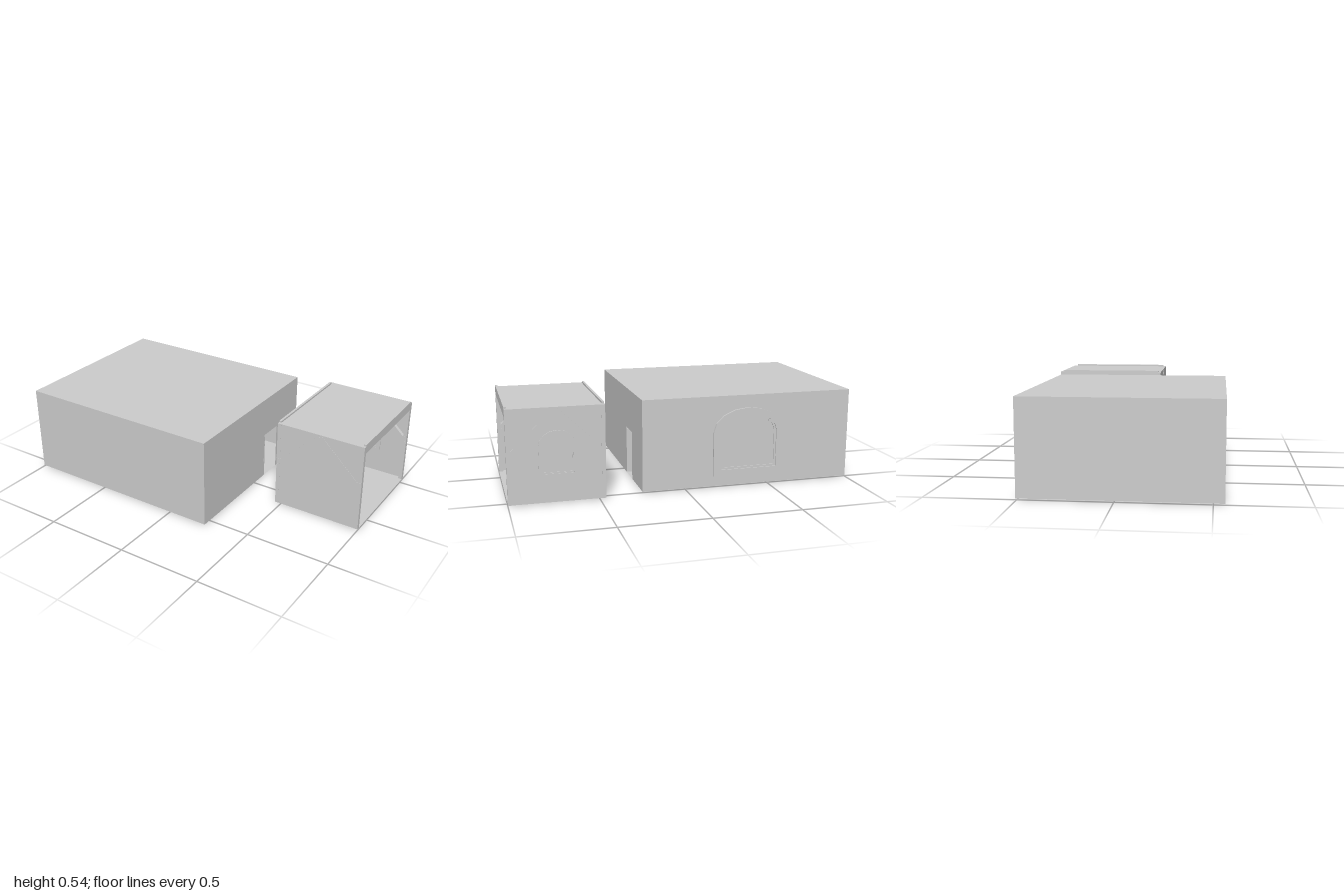
import * as THREE from 'three';

const mat = new THREE.MeshStandardMaterial({ color: 0xcccccc, side: THREE.DoubleSide, flatShading: true });

function add(parent, name, geometry) {
  const mesh = new THREE.Mesh(geometry, mat);
  mesh.name = name;
  parent.add(mesh);
  return mesh;
}

// Box given by its two extreme corners
function block(parent, name, [x0, y0, z0], [x1, y1, z1]) {
  const mesh = add(parent, name, new THREE.BoxGeometry(x1 - x0, y1 - y0, z1 - z0));
  mesh.position.set((x0 + x1) / 2, (y0 + y1) / 2, (z0 + z1) / 2);
  return mesh;
}

// Thin rectangle: normal axis 'x', 'y' or 'z', with the sign of its outer side
function panel(parent, name, axis, sign, w, h, pos) {
  const g = new THREE.PlaneGeometry(w, h);
  if (axis === 'x') g.rotateY(sign * Math.PI / 2);
  if (axis === 'y') g.rotateX(-sign * Math.PI / 2);
  if (axis === 'z' && sign < 0) g.rotateY(Math.PI);
  add(parent, name, g).position.set(...pos);
}

// Outline with straight sides and a faceted round head
function archPoints(x0, x1, y0, spring, top) {
  const cx = (x0 + x1) / 2, r = (x1 - x0) / 2;
  const pts = [new THREE.Vector2(x0, y0), new THREE.Vector2(x1, y0)];
  for (let i = 0; i <= 8; i++) {
    const a = i * Math.PI / 8;
    pts.push(new THREE.Vector2(cx + r * Math.cos(a), spring + (top - spring) * Math.sin(a)));
  }
  return pts;
}

// Arched ring standing in the xy plane between two depths
function archFrame(parent, name, [x0, x1, y0, spring, top], width, z0, z1) {
  const shape = new THREE.Shape(archPoints(x0, x1, y0, spring, top));
  shape.holes.push(new THREE.Path(archPoints(x0 + width, x1 - width, y0 + width, spring, top - width)));
  const g = new THREE.ExtrudeGeometry(shape, { depth: z1 - z0, bevelEnabled: false });
  add(parent, name, g).position.z = z0;
}

// Square timber running between two points in the xy plane
function brace(parent, name, [xa, ya], [xb, yb], width, z0, z1) {
  const mesh = add(parent, name, new THREE.BoxGeometry(Math.hypot(xb - xa, yb - ya), width, z1 - z0));
  mesh.position.set((xa + xb) / 2, (ya + yb) / 2, (z0 + z1) / 2);
  mesh.rotation.z = Math.atan2(yb - ya, xb - xa);
}

function createHall() {
  const hall = new THREE.Group();
  hall.name = 'mainHall';
  const x0 = -1, x1 = 0.25, y0 = 0.01, y1 = 0.535, z0 = -0.507, z1 = 0.559;
  const cx = (x0 + x1) / 2, cy = (y0 + y1) / 2, cz = (z0 + z1) / 2;
  panel(hall, 'hallFloor', 'y', -1, x1 - x0, z1 - z0, [cx, y0, cz]);
  panel(hall, 'hallCeiling', 'y', 1, x1 - x0, z1 - z0, [cx, y1, cz]);
  panel(hall, 'hallFrontWall', 'z', 1, x1 - x0, y1 - y0, [cx, cy, z1]);
  panel(hall, 'hallBackWall', 'z', -1, x1 - x0, y1 - y0, [cx, cy, z0]);
  panel(hall, 'hallRightWall', 'x', -1, z1 - z0, y1 - y0, [x0, cy, cz]);

  // Wall with the doorway; shape x becomes -z
  const wall = new THREE.Shape([[-z1, y0], [0.1, y0], [0.1, 0.295], [0.25, 0.295], [0.25, y0],
    [-z0, y0], [-z0, y1], [-z1, y1]].map(p => new THREE.Vector2(...p)));
  add(hall, 'hallDoorwayWall', new THREE.ShapeGeometry(wall).rotateY(Math.PI / 2)).position.x = x1;
  block(hall, 'openDoor', [x1 - 0.14, 0.013, -0.108], [x1, 0.28, -0.101]);

  // Arched window
  archFrame(hall, 'hallWindowFrame', [-0.58, -0.165, 0.07, 0.325, 0.463], 0.035, -0.518, -0.5);
  archFrame(hall, 'hallWindowSash', [-0.545, -0.2, 0.105, 0.325, 0.428], 0.012, -0.512, -0.502);
  return hall;
}

function createChair() {
  const chair = new THREE.Group();
  chair.name = 'chair';
  block(chair, 'seat', [-0.935, 0.051, -0.235], [-0.845, 0.058, -0.134]);
  block(chair, 'seatApron', [-0.922, 0.043, -0.218], [-0.858, 0.051, -0.152]);
  block(chair, 'backrest', [-0.935, 0.058, -0.205], [-0.925, 0.155, -0.167]);
  for (const x of [-0.91, -0.867])
    for (const z of [-0.207, -0.162])
      block(chair, 'chairLeg', [x - 0.006, 0.003, z - 0.006], [x + 0.006, 0.051, z + 0.006]);
  return chair;
}

function createPorch() {
  const porch = new THREE.Group();
  porch.name = 'porch';
  const x0 = 0.465, x1 = 1, y0 = 0.01, y1 = 0.535, z0 = -0.552, z1 = 0.127;
  const cx = (x0 + x1) / 2, cy = (y0 + y1) / 2, cz = (z0 + z1) / 2;
  panel(porch, 'porchFloor', 'y', -1, x1 - x0, z1 - z0, [cx, y0, cz]);
  panel(porch, 'porchRoof', 'y', 1, x1 - x0, z1 - z0, [cx, y1, cz]);
  panel(porch, 'porchFrontWall', 'z', 1, x1 - x0, y1 - y0, [cx, cy, z1]);
  panel(porch, 'porchBackWall', 'z', -1, x1 - x0, y1 - y0, [cx, cy, z0]);

  // Timber on the two walls: sill beam, chevron braces, posts and corbels
  for (const [a, b] of [[0.106, 0.1285], [-0.5535, -0.529]]) {
    block(porch, 'wallBeam', [x0 + 0.002, 0.492, a + 0.002], [x1 - 0.002, 0.517, b - 0.002]);
    brace(porch, 'braceRight', [0.475, 0.28], [0.728, 0.522], 0.02, a, b);
    brace(porch, 'braceLeft', [0.99, 0.28], [0.737, 0.522], 0.02, a, b);
    for (const [xa, xb] of [[x0, x0 + 0.022], [x1 - 0.022, x1]]) {
      block(porch, 'post', [xa, y0, a], [xb, y1, b - 0.001]);
      block(porch, 'corbel', [xa - (xa > cx ? 0.005 : 0), 0.288, a + 0.002], [xb + (xb < cx ? 0.005 : 0), 0.311, b]);
      block(porch, 'corbelBand', [xa - (xa > cx ? 0.003 : 0), 0.27, a], [xb + (xb < cx ? 0.003 : 0), 0.277, b]);
    }
  }

  // Lintels over the two open ends, rising just above the roof
  for (const [xa, xb] of [[x0, x0 + 0.014], [x1 - 0.014, x1]]) {
    block(porch, 'lintel', [xa, 0.49, -0.53], [xb, 0.545, 0.11]);
    const inner = xa < cx ? [xb, xb + 0.01] : [xa - 0.01, xa];
    block(porch, 'lintelTrim', [inner[0], 0.505, -0.53], [inner[1], 0.525, 0.106]);
  }

  // Arched window
  archFrame(porch, 'porchWindowFrame', [0.625, 0.83, 0.155, 0.325, 0.41], 0.016, -0.558, -0.546);
  archFrame(porch, 'porchWindowSash', [0.641, 0.814, 0.171, 0.325, 0.394], 0.008, -0.555, -0.548);
  return porch;
}

export function createModel() {
  const model = new THREE.Group();
  model.name = 'hallAndPorch';
  model.add(createHall(), createChair(), createPorch());
  return model;
}
